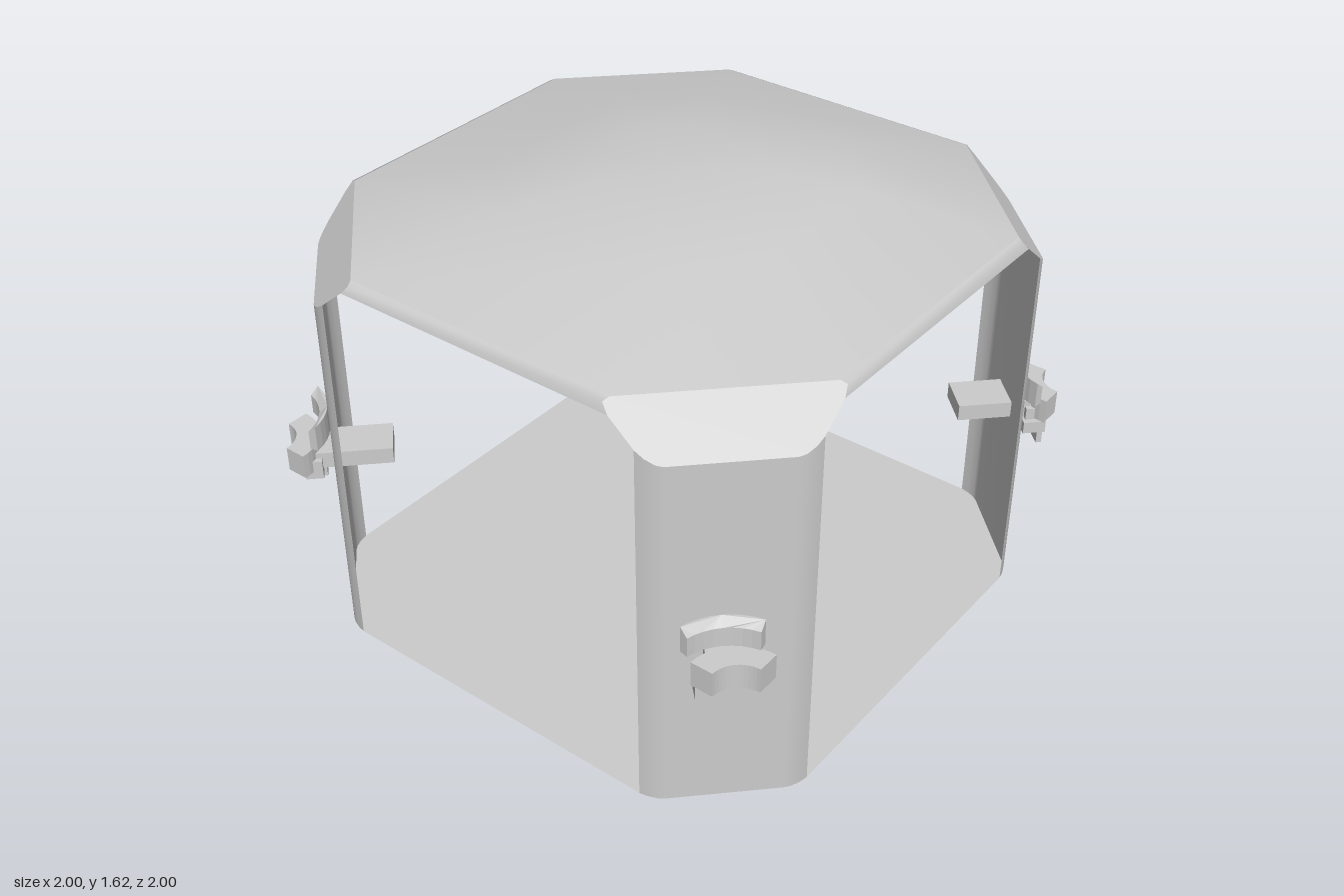
import * as THREE from 'three';

const material = new THREE.MeshStandardMaterial({ color: 0xcccccc, side: THREE.DoubleSide });
const flat = new THREE.MeshStandardMaterial({ color: 0xcccccc, side: THREE.DoubleSide, flatShading: true });

function addMesh(parent, name, geometry, mat = material) {
  const mesh = new THREE.Mesh(geometry, mat);
  mesh.name = name;
  parent.add(mesh);
  return mesh;
}

// Indexed surface from points [x, y, z] and triangle indices
function surface(points, index) {
  const g = new THREE.BufferGeometry();
  g.setAttribute('position', new THREE.Float32BufferAttribute(points.flat(), 3));
  g.setIndex(index);
  g.computeVertexNormals();
  return g;
}

// Skin over equal-length rows of points, optionally closed around
function loft(rows, closed = false) {
  const n = rows[0].length, index = [];
  for (let i = 0; i < rows.length - 1; i++)
    for (let j = 0; j < (closed ? n : n - 1); j++) {
      const a = i * n + j, b = i * n + (j + 1) % n;
      index.push(a, b, b + n, a, b + n, a + n);
    }
  return surface(rows.flat(), index);
}

// Quarter turn of a plan point around y
function turn([x, z], k) {
  for (let i = 0; i < k; i++) [x, z] = [z, -x];
  return [x, z];
}

// Rounded corner in plan, from the front edge to the side edge
const half = [[0.62, 1], [0.65, 0.994], [0.68, 0.982], [0.70, 0.968]];
const mirror = (pts) => pts.map(([x, z]) => [z, x]).reverse();
const corner = [...half, ...mirror(half)];

// Height on the sloping plane that cuts each roof corner
const slope = (x, z) => 1.46 - (x + z - 1.48) * 0.84;

function arcBand(inner, outer, halfAngle, depth, segments) {
  const s = new THREE.Shape();
  const a = Math.PI / 2 - halfAngle, b = Math.PI / 2 + halfAngle;
  s.absarc(0, 0, outer, a, b, false);
  s.absarc(0, 0, inner, b, a, true);
  return new THREE.ExtrudeGeometry(s, { depth, bevelEnabled: false, curveSegments: segments })
    .rotateX(-Math.PI / 2);
}

// Bracket on the outside of a corner wall; local +z points outward
function createBracket(hanging) {
  const g = new THREE.Group();
  g.name = 'cornerBracket';
  const box = (name, w, h, d, x, y, z) =>
    addMesh(g, name, new THREE.BoxGeometry(w, h, d), flat).position.set(x, y, z);

  addMesh(g, 'bracketRing', arcBand(0.10, 0.18, Math.PI / 4, 0.09, 6), flat)
    .position.set(0, 0.58, Math.SQRT2);

  // Curved plate with its top sloping up toward the wall
  const plate = arcBand(0.20, 0.23, 0.58, 0.07, 4);
  const p = plate.attributes.position;
  for (let i = 0; i < p.count; i++)
    if (p.getY(i) > 0.05 && Math.hypot(p.getX(i), p.getZ(i)) > 0.215) p.setY(i, 0.095);
  addMesh(g, 'bracketPlate', plate, flat).position.set(-0.025, 0.67, 1.43);

  box('bracketStub', 0.15, 0.06, 0.28, 0, 0.61, 1.13);
  box('bracketFoot', 0.17, 0.045, 0.08, -0.03, 0.553, 1.26);
  for (const s of [-1, 1]) box('bracketLug', 0.05, 0.07, 0.06, s * 0.07, 0.585, 1.26);
  if (hanging) {
    box('bracketHanger', 0.05, 0.05, 0.03, 0, 0.51, 1.29);
    box('hangingTab', 0.08, 0.07, 0.02, 0, 0.465, 1.31);
  }
  return g;
}

export function createModel() {
  const model = new THREE.Group();
  model.name = 'pavilion';

  // Floor plate
  const outline = [0, 1, 2, 3].flatMap((k) => corner.map((c) => turn(c, k)));
  const floor = new THREE.Shape(outline.map(([x, z]) => new THREE.Vector2(x, -z)));
  addMesh(model, 'floor', new THREE.ShapeGeometry(floor).rotateX(-Math.PI / 2));

  // Low octagonal dome, from the rim to the flat crown
  const rings = [[0.97, 1.46], [0.53, 1.58], [0.25, 1.622], [0.001, 1.624]];
  addMesh(model, 'roof', loft(rings.map(([m, y]) =>
    [0, 1, 2, 3].flatMap((k) => [[m * 0.526, m], [m, m * 0.526]].map((c) => {
      const [x, z] = turn(c, k);
      return [x, y, z];
    }))), true));

  // Edge pieces, walls and brackets, once per quarter turn
  const lip = [[1, 1.42, 0.5275], [0.99, 1.45, 0.502], [0.97, 1.46, 0.51]];
  const gusset = [[0.51, 0.97], [0.502, 0.99], [0.5275, 1], ...half];
  const gussetOutline = [...gusset, ...mirror(gusset)];
  const fan = [];
  for (let i = 1; i < gussetOutline.length - 1; i++) fan.push(0, i, i + 1);

  for (let k = 0; k < 4; k++) {
    const quarter = new THREE.Group();
    quarter.name = 'quarter';
    quarter.rotation.y = k * Math.PI / 2;
    model.add(quarter);

    addMesh(quarter, 'roofLip', loft(lip.map(([z, y, w]) => [[-w, y, z], [w, y, z]])));
    addMesh(quarter, 'roofCorner', surface(gussetOutline.map(([x, z]) => [x, slope(x, z), z]), fan));
    addMesh(quarter, 'cornerWall', loft([
      corner.map(([x, z]) => [x, 0, z]),
      corner.map(([x, z]) => [x, slope(x, z), z]),
    ]));

    const bracket = createBracket(k === 1 || k === 2);
    bracket.rotation.y = Math.PI / 4;
    quarter.add(bracket);
  }
  return model;
}
